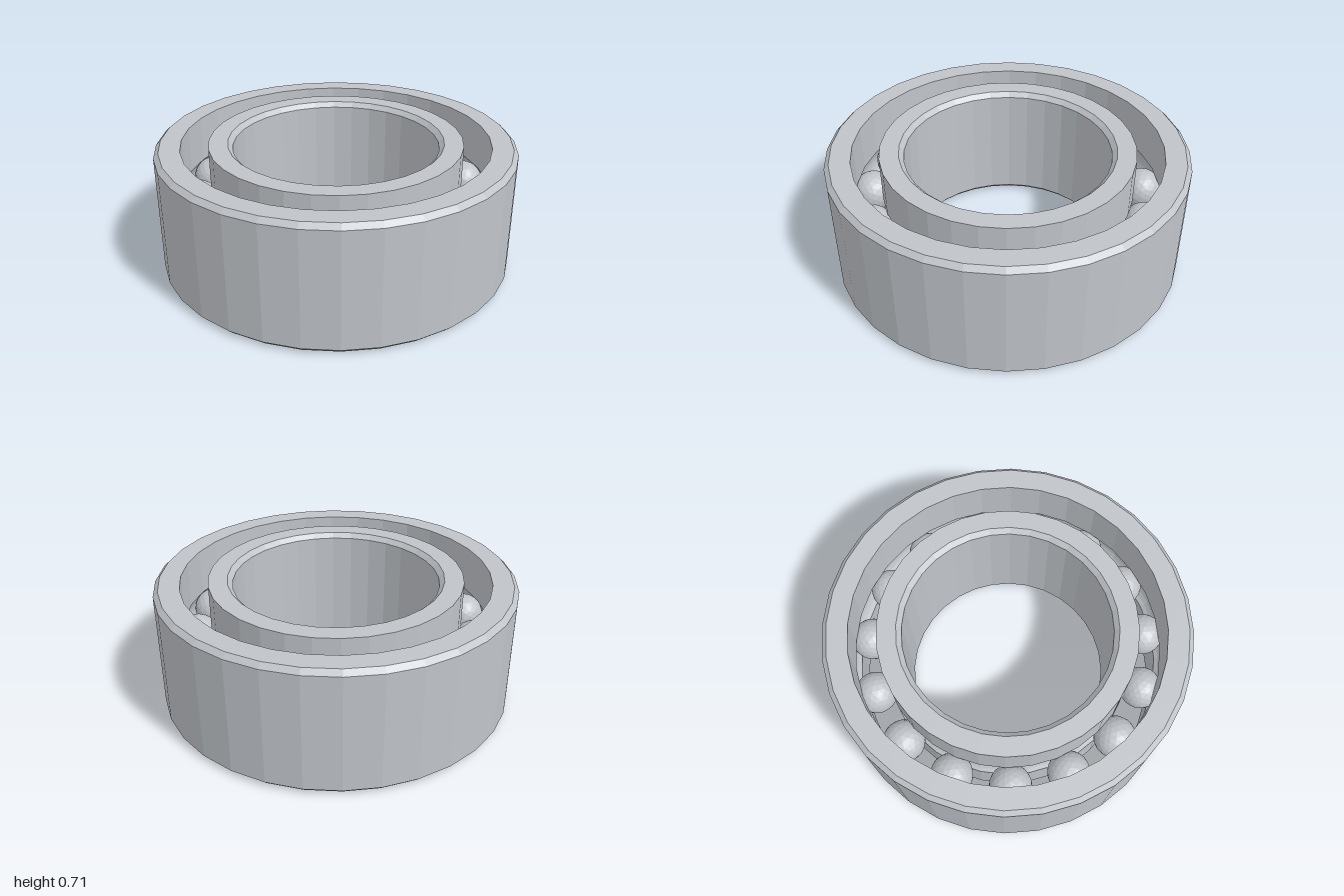
import * as THREE from 'three';

const HEIGHT = 0.715, MID = HEIGHT / 2, CHAMFER = 0.027;
const SEGMENTS = 32, BALLS = 15;
const PITCH = 0.785, BALL_RADIUS = 0.118, GROOVE_RADIUS = 0.12;

// Raceway arc cut into a wall; side is +1 for the outer ring, -1 for the inner
function groove(wall, side) {
  const half = Math.acos(Math.abs(wall - PITCH) / GROOVE_RADIUS);
  const points = [];
  for (let i = 0; i <= 8; i++) {
    const a = side * half * (1 - i / 4);
    points.push([PITCH + side * GROOVE_RADIUS * Math.cos(a), MID + GROOVE_RADIUS * Math.sin(a)]);
  }
  return points;
}

// Closed ring from a profile that runs up the outside and down the inside
function ring(name, profile, material) {
  const points = [...profile, profile[0]].map(([x, y]) => new THREE.Vector2(x, y));
  const mesh = new THREE.Mesh(new THREE.LatheGeometry(points, SEGMENTS), material);
  mesh.name = name;
  return mesh;
}

export function createModel() {
  const group = new THREE.Group();
  group.name = 'ballBearing';
  const steel = new THREE.MeshStandardMaterial({ color: 0xc0c4c9, flatShading: true });
  steel.name = 'steel';

  // Outer ring: chamfered outside, grooved inside
  group.add(ring('outerRing', [
    [0.973, 0], [1, CHAMFER], [1, HEIGHT - CHAMFER], [0.973, HEIGHT],
    [0.858, HEIGHT], ...groove(0.858, 1), [0.858, 0],
  ], steel));

  // Inner ring: grooved outside, chamfered bore
  group.add(ring('innerRing', [
    [0.706, 0], ...groove(0.706, -1), [0.706, HEIGHT],
    [0.6, HEIGHT], [0.573, HEIGHT - CHAMFER], [0.573, CHAMFER], [0.6, 0],
  ], steel));

  // Balls evenly spaced in the raceway
  const balls = new THREE.Group();
  balls.name = 'balls';
  const ballGeometry = new THREE.IcosahedronGeometry(BALL_RADIUS, 3);
  for (let i = 0; i < BALLS; i++) {
    const a = (i / BALLS) * Math.PI * 2;
    const ball = new THREE.Mesh(ballGeometry, steel);
    ball.name = 'ball';
    ball.position.set(PITCH * Math.cos(a), MID, PITCH * Math.sin(a));
    ball.rotation.y = -a;
    balls.add(ball);
  }
  group.add(balls);
  return group;
}
